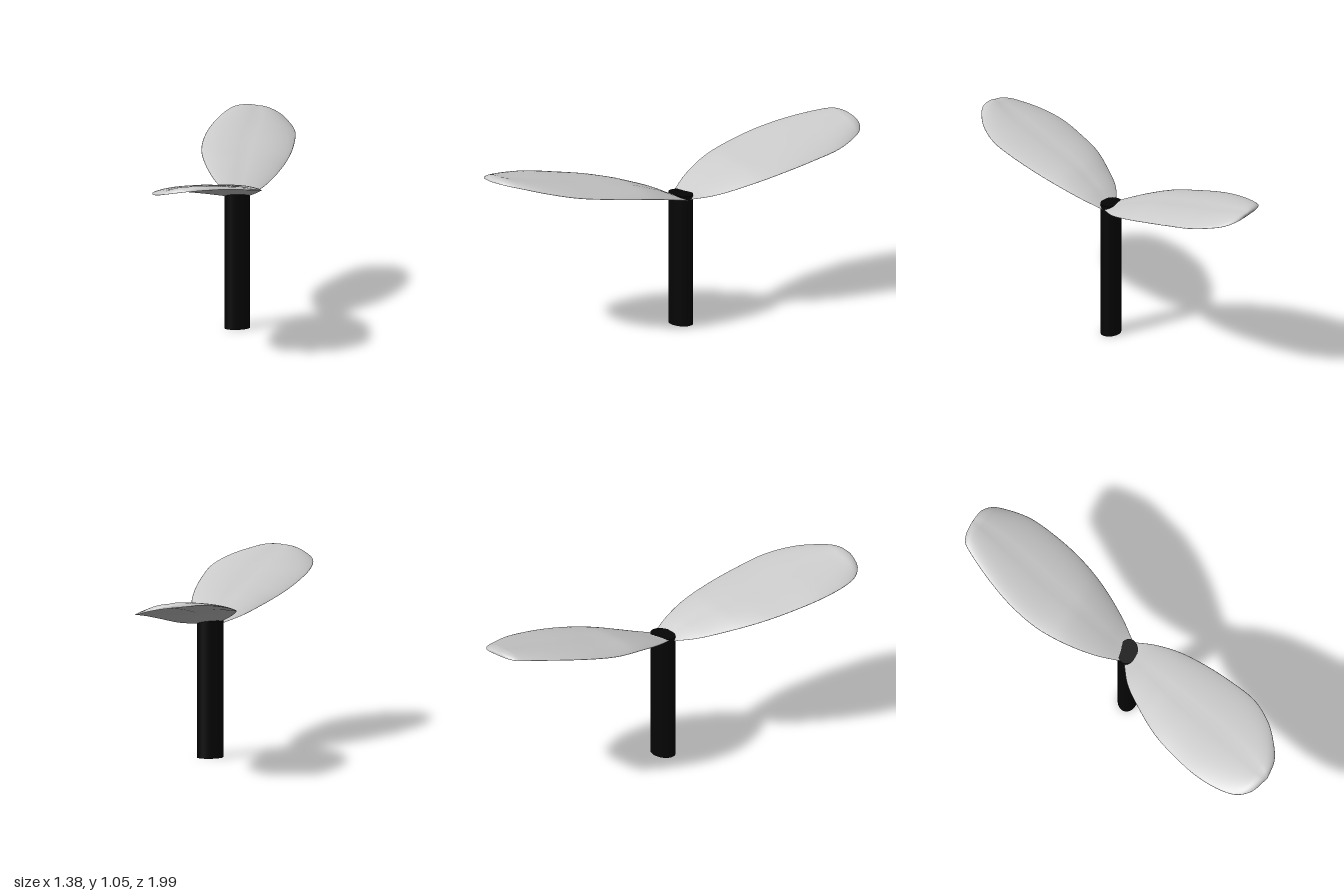
import * as THREE from 'three';
import { mergeVertices } from 'three/addons/utils/BufferGeometryUtils.js';

const STEPS = 48, RING = 40;

// Leaf blade: a thin, gently domed lens section swept between two edge curves.
function bladeGeometry(leftEdge, rightEdge) {
  const curve = (pts) => new THREE.CatmullRomCurve3(pts.map((p) => new THREE.Vector3(...p)));
  const left = curve(leftEdge), right = curve(rightEdge);
  const pos = [], index = [];
  for (let i = 0; i <= STEPS; i++) {
    const t = i / STEPS;
    const a = left.getPoint(t), b = right.getPoint(t);
    const taper = Math.min(1, a.distanceTo(b) / 0.3);
    const grow = Math.min(1, t * 4);
    for (let j = 0; j < RING; j++) {
      const ang = (j / RING) * Math.PI * 2;
      const u = (1 - Math.cos(ang)) / 2;
      const p = a.clone().lerp(b, u);
      const dome = 0.024 * (1 - Math.abs(2 * u - 1) ** 3);
      const rib = 0.003 * Math.exp(-(((u - 0.5) / 0.06) ** 2));
      p.y += taper * (0.011 * (0.3 + 0.7 * grow) * Math.sin(ang) + (dome - rib) * grow);
      pos.push(p.x, p.y, p.z);
    }
  }
  for (let i = 0; i < STEPS; i++) {
    for (let j = 0; j < RING; j++) {
      const k = (j + 1) % RING;
      const p = i * RING + j, q = i * RING + k;
      index.push(p, q, p + RING, q, q + RING, p + RING);
    }
  }
  let geo = new THREE.BufferGeometry();
  geo.setAttribute('position', new THREE.Float32BufferAttribute(pos, 3));
  geo.setIndex(index);
  geo = mergeVertices(geo, 1e-5);
  geo.computeVertexNormals();
  return geo;
}

export function createModel() {
  const group = new THREE.Group();
  const leafMat = new THREE.MeshStandardMaterial({ color: 0xcccccc, side: THREE.DoubleSide });
  const stemMat = new THREE.MeshStandardMaterial({ color: 0x050505 });

  const add = (name, geo, mat) => {
    const mesh = new THREE.Mesh(geo, mat);
    mesh.name = name;
    group.add(mesh);
    return mesh;
  };

  // Oval stem
  const stem = add('stem', new THREE.CylinderGeometry(1, 1, 0.785, 40), stemMat);
  stem.scale.set(0.075, 1, 0.056);
  stem.position.set(0.08, 0.3925, 0.025);

  // Leaf reaching back and to +x
  add('backLeaf', bladeGeometry(
    [[0.02, 0.77, 0.02], [0, 0.825, -0.14], [0.01, 0.88, -0.32], [0.055, 0.92, -0.5], [0.14, 0.965, -0.67],
      [0.25, 1.003, -0.82], [0.37, 1.03, -0.95], [0.42, 1.035, -0.99], [0.48, 1.033, -0.997], [0.56, 1.025, -0.98]],
    [[0.15, 0.762, 0.04], [0.27, 0.785, -0.05], [0.42, 0.837, -0.2], [0.53, 0.88, -0.35], [0.62, 0.917, -0.52],
      [0.68, 0.945, -0.68], [0.69, 0.972, -0.82], [0.68, 0.99, -0.89], [0.64, 1.01, -0.945], [0.56, 1.025, -0.98]],
  ), leafMat);

  // Leaf reaching forward and to -x
  add('frontLeaf', bladeGeometry(
    [[0.15, 0.762, 0.05], [0.146, 0.802, 0.17], [0.12, 0.845, 0.31], [0.06, 0.887, 0.48], [-0.02, 0.927, 0.65],
      [-0.11, 0.965, 0.8], [-0.23, 0.998, 0.905], [-0.34, 1.018, 0.96], [-0.46, 1.03, 0.995], [-0.57, 1.025, 0.98]],
    [[0.01, 0.762, 0.02], [-0.12, 0.795, 0.07], [-0.27, 0.838, 0.175], [-0.41, 0.88, 0.295], [-0.52, 0.913, 0.43],
      [-0.62, 0.947, 0.58], [-0.68, 0.97, 0.73], [-0.692, 0.985, 0.83], [-0.66, 1.005, 0.91], [-0.57, 1.025, 0.98]],
  ), leafMat);

  return group;
}
